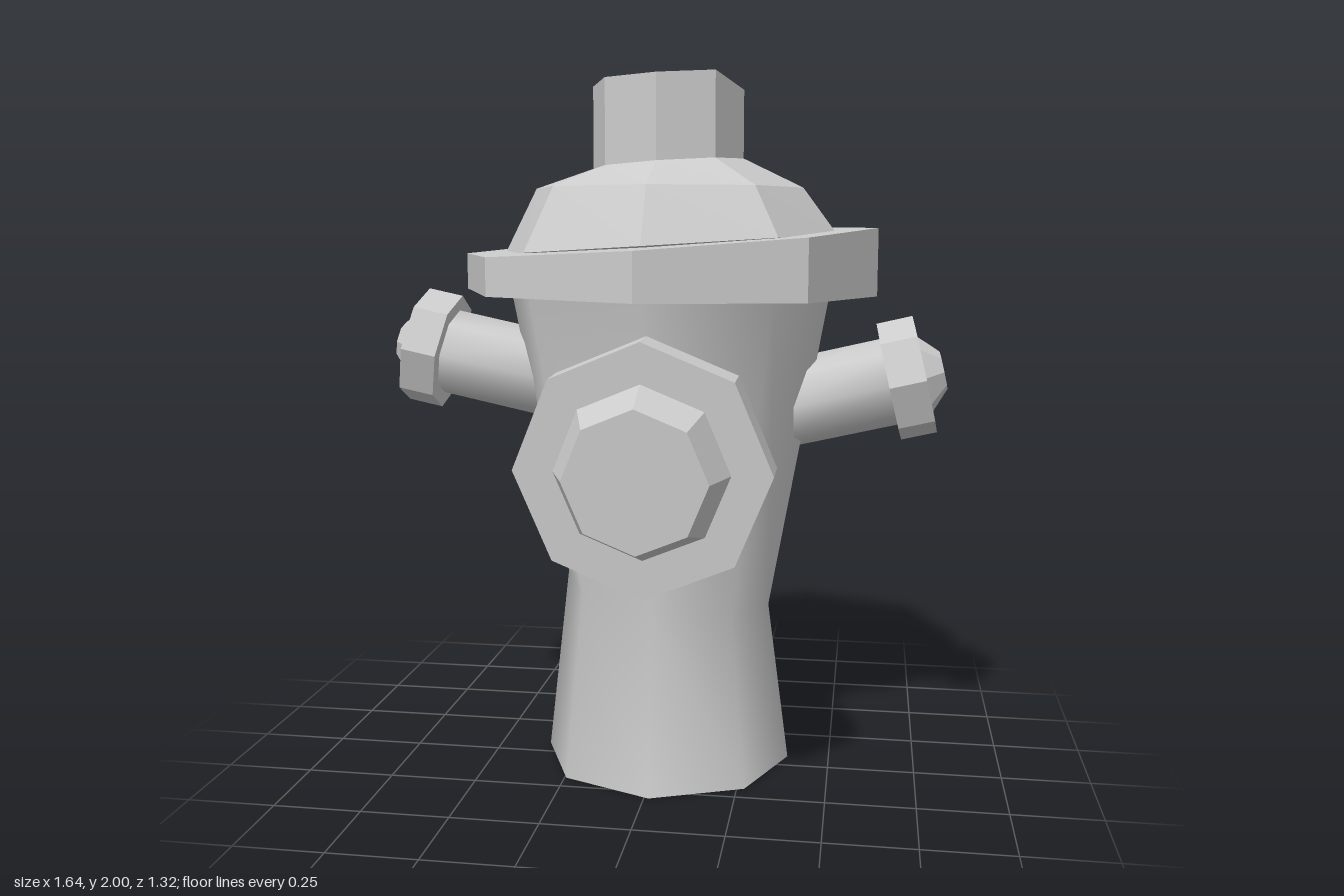
import * as THREE from 'three';
import { toCreasedNormals } from 'three/addons/utils/BufferGeometryUtils.js';

const SIDES = 8;
const flat = new THREE.MeshStandardMaterial({ color: 0xcccccc, flatShading: true });
const smooth = new THREE.MeshStandardMaterial({ color: 0xcccccc });

// Octagonal solid turned around y from [radius, height] pairs, listed bottom to top.
// bend(x, y, z) may return a new height for each vertex.
function turned(name, profile, { isSmooth = false, bend } = {}) {
  const pts = profile.map(([r, y]) => new THREE.Vector2(r, y));
  let geo = new THREE.LatheGeometry(pts, SIDES);
  if (bend) {
    const p = geo.attributes.position;
    for (let i = 0; i < p.count; i++) p.setY(i, bend(p.getX(i), p.getY(i), p.getZ(i)));
  }
  if (isSmooth) geo = toCreasedNormals(geo, 0.9);
  else {
    geo = geo.toNonIndexed();
    geo.computeVertexNormals();
  }
  const mesh = new THREE.Mesh(geo, isSmooth ? smooth : flat);
  mesh.name = name;
  return mesh;
}

// Pipe with a collar and a tapered plug; local y points outwards, origin at the collar centre
function outlet(name, pipe, collar, plug) {
  const g = new THREE.Group();
  g.name = name;
  const [pr, length] = pipe, [cr, half] = collar, [r0, r1, tip] = plug;
  g.add(
    turned(name + 'Pipe', [[0, -length], [pr, -length], [pr, 0], [0, 0]], { isSmooth: name !== 'frontOutlet' }),
    turned(name + 'Collar', [[0, -half], [cr, -half], [cr, half], [0, half]]),
    turned(name + 'Plug', [[0, half - 0.01], [r0, half - 0.01], [r1, tip], [0, tip]])
  );
  return g;
}

export function createModel() {
  const model = new THREE.Group();
  model.name = 'fireHydrant';

  // Upright parts share one axis, slightly off centre
  const column = new THREE.Group();
  column.name = 'column';
  column.position.set(0.013, 0, -0.068);
  model.add(column);

  // Waisted barrel
  column.add(turned('barrel', [[0, 0], [0.365, 0], [0.302, 0.51], [0.468, 1.4], [0, 1.4]], {
    isSmooth: true,
    bend: (x, y) => (y > 0.3 && y < 0.7 ? y - 0.13 * x : y),
  }));

  // Flange with a lopsided upper face
  column.add(turned('flange', [[0, 1.39], [0.6, 1.39], [0.6, 1.538], [0, 1.538]], {
    bend: (x, y, z) => (y > 1.5 ? y + 0.062 * x - 0.03 * z : y - 0.012 * x),
  }));

  // Faceted bonnet
  const bonnet = turned('bonnet', [[0, 1.5], [0.483, 1.53], [0.387, 1.688], [0.217, 1.757], [0, 1.757]], {
    bend: (x, y) => y + 0.06 * x * (y > 1.6 && y < 1.7 ? 0 : 1),
  });
  column.add(bonnet);

  // Operating nut with a chipped, uneven top
  const chips = [1.99, 2.0, 1.96, 1.99, 1.975, 1.985, 1.975, 1.985];
  const nut = turned('topNut', [[0, 1.72], [0.217, 1.72], [0.217, 1.98], [0, 1.98]], {
    bend: (x, y, z) => {
      if (y < 1.9 || Math.hypot(x, z) < 0.1) return y;
      const k = Math.round(Math.atan2(x, z) / (Math.PI / 4));
      return chips[(k + SIDES) % SIDES];
    },
  });
  column.add(nut);

  // Side outlets, both angled upwards
  for (const [name, side, y, angle] of [['leftOutlet', 1, 1.147, 0.23], ['rightOutlet', -1, 1.216, 0.21]]) {
    const o = outlet(name, [0.127, 0.42], [0.172, 0.052], [0.122, 0.055, 0.106]);
    o.position.set(side * 0.703, y, -0.108);
    o.rotation.z = -side * (Math.PI / 2 - angle);
    model.add(o);
  }

  // Large front outlet, dipping slightly
  const front = outlet('frontOutlet', [0.21, 0.36], [0.334, 0.052], [0.232, 0.185, 0.155]);
  front.position.set(0.035, 0.968, 0.485);
  front.rotation.x = Math.PI / 2 + 0.06;
  model.add(front);

  return model;
}
